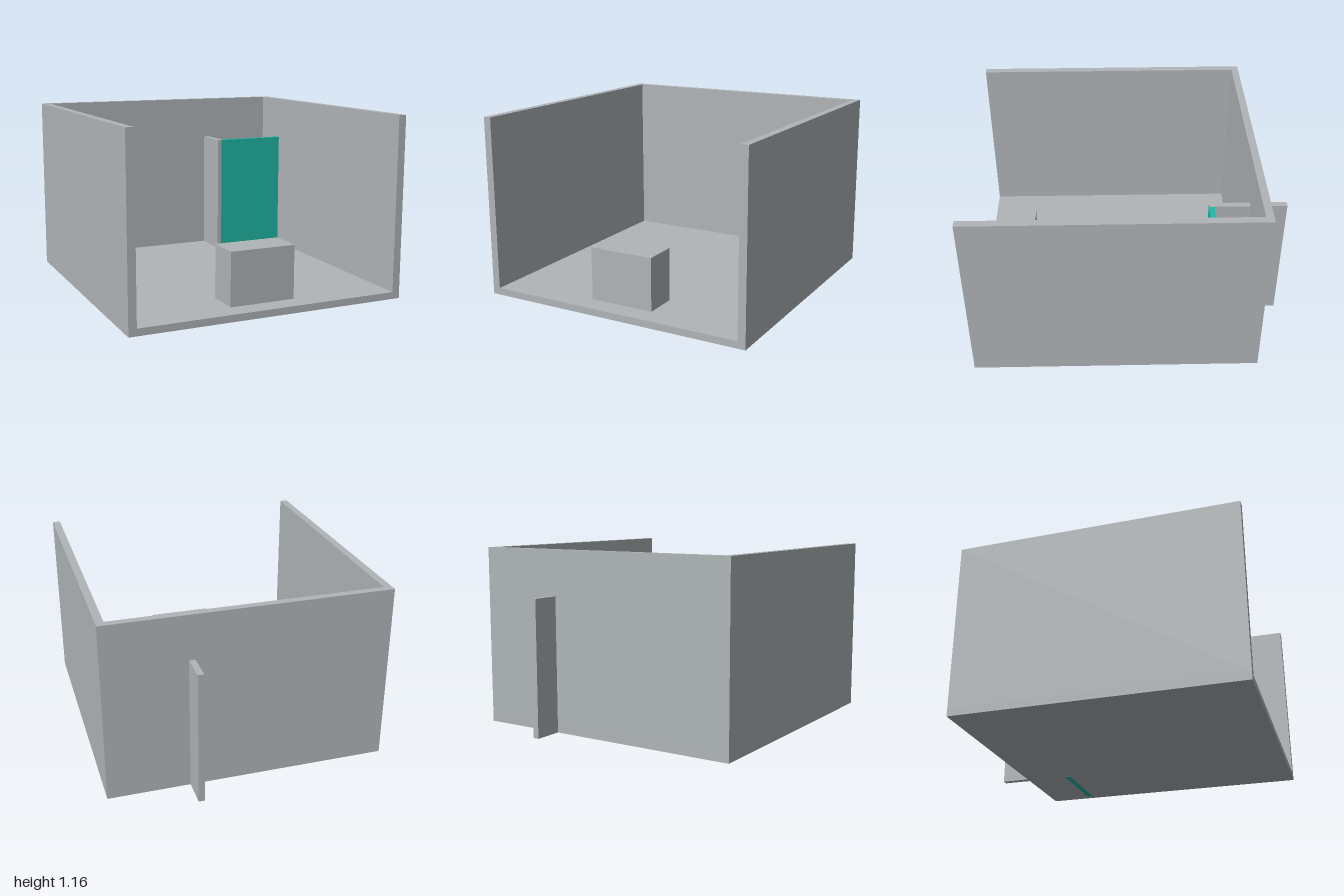
import * as THREE from 'three';

const grey = new THREE.MeshStandardMaterial({ color: 0xb0b5b8 });
grey.name = 'wall grey';
const teal = new THREE.MeshStandardMaterial({ color: 0x20b7a6 });
teal.name = 'door teal';

// Box given by its minimum and maximum on each axis
function block(name, material, [x0, x1], [y0, y1], [z0, z1]) {
  const mesh = new THREE.Mesh(new THREE.BoxGeometry(x1 - x0, y1 - y0, z1 - z0), material);
  mesh.position.set((x0 + x1) / 2, (y0 + y1) / 2, (z0 + z1) / 2);
  mesh.name = name;
  return mesh;
}

export function createModel() {
  const room = new THREE.Group();
  room.name = 'room';

  const out = 0.905, inn = 0.855, back = -0.815, backIn = -0.767, front = 1;
  const floorTop = 0.046, top = 1.163;

  // Floor slab, a hair above the ground so the door foot shows underneath
  room.add(block('floor', grey, [-out, out], [0.001, floorTop], [back, front]));

  // U-shaped wall plan, open at the front; shape y is -z
  const plan = new THREE.Shape([
    [-out, -front], [-inn, -front], [-inn, -backIn], [inn, -backIn],
    [inn, -front], [out, -front], [out, -back], [-out, -back],
  ].map(([x, y]) => new THREE.Vector2(x, y)));
  const walls = new THREE.Mesh(
    new THREE.ExtrudeGeometry(plan, { depth: top - floorTop, bevelEnabled: false }), grey);
  walls.rotation.x = -Math.PI / 2;
  walls.position.y = floorTop;
  walls.name = 'walls';
  room.add(walls);

  // Low block near the open side
  room.add(block('counter', grey, [-0.216, 0.214], [floorTop, 0.387], [0.65, 0.868]));

  // Partition passing through the back wall, and the coloured door beside it
  room.add(block('partition', grey, [0.342, 0.381], [0.001, 0.873], [-1, -0.51]));
  room.add(block('door', teal, [0.368, inn], [0, 0.872], [-0.54, -0.503]));

  return room;
}
